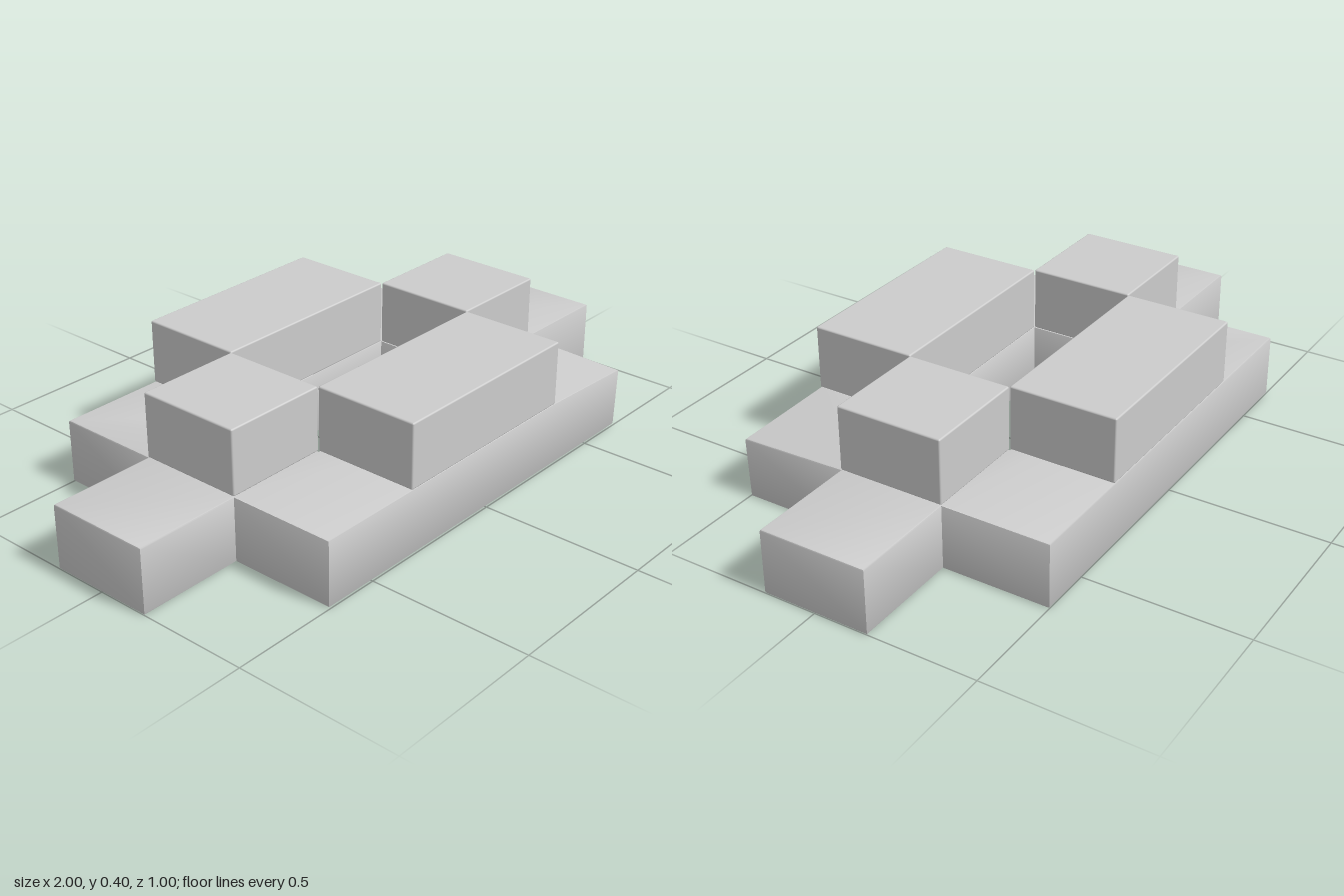
import * as THREE from 'three';
import { toCreasedNormals } from 'three/addons/utils/BufferGeometryUtils.js';
import { RoundedBoxGeometry } from 'three/addons/geometries/RoundedBoxGeometry.js';

// Shared grid lines that every block snaps to
const X = [-1, -0.668, -0.335, 0.33, 0.663, 1];
const Z = [-0.5, -0.168, 0.163, 0.496];
const LAYER = 0.2, BEVEL = 0.005;

const points = (list) => list.map(([i, j]) => new THREE.Vector2(X[i], Z[j]));

export function createModel() {
  const model = new THREE.Group();
  const material = new THREE.MeshStandardMaterial({ color: 0xcccccc });
  const add = (name, geometry) => {
    const mesh = new THREE.Mesh(geometry, material);
    mesh.name = name;
    model.add(mesh);
    return mesh;
  };

  // Base: a frame with an ear at each end and a rectangular opening
  const outline = new THREE.Shape(points([
    [4, 3], [3, 3], [1, 3], [1, 2], [0, 2], [0, 1], [1, 1], [1, 0],
    [4, 0], [4, 1], [5, 1], [5, 2], [4, 2],
  ]));
  outline.holes.push(new THREE.Path(points([[2, 1], [3, 1], [3, 2], [2, 2]])));
  const base = new THREE.ExtrudeGeometry(outline, {
    depth: LAYER - 2 * BEVEL, bevelThickness: BEVEL, bevelSize: BEVEL,
    bevelOffset: -BEVEL, bevelSegments: 2,
  });
  base.rotateX(Math.PI / 2).translate(0, LAYER - BEVEL, 0);

  // The front left top corner sags slightly down and outwards
  const pos = base.attributes.position;
  for (let i = 0; i < pos.count; i++) {
    if (pos.getX(i) > 0.6 && pos.getZ(i) > 0.45 && pos.getY(i) > 0.15) {
      pos.setY(i, pos.getY(i) - 0.01);
      pos.setZ(i, pos.getZ(i) + 0.005);
    }
  }
  add('base', toCreasedNormals(base, 0.7));

  // Upper layer: four blocks around the opening, meeting at their corners
  const blocks = [
    ['frontBlock', 2, 3, 2, 3], ['backBlock', 2, 3, 0, 1],
    ['leftBlock', 3, 4, 1, 2], ['rightBlock', 1, 2, 1, 2],
  ];
  for (const [name, x0, x1, z0, z1] of blocks) {
    const geometry = new RoundedBoxGeometry(X[x1] - X[x0], LAYER, Z[z1] - Z[z0], 2, BEVEL);
    add(name, geometry).position.set((X[x0] + X[x1]) / 2, LAYER * 1.5, (Z[z0] + Z[z1]) / 2);
  }
  return model;
}
